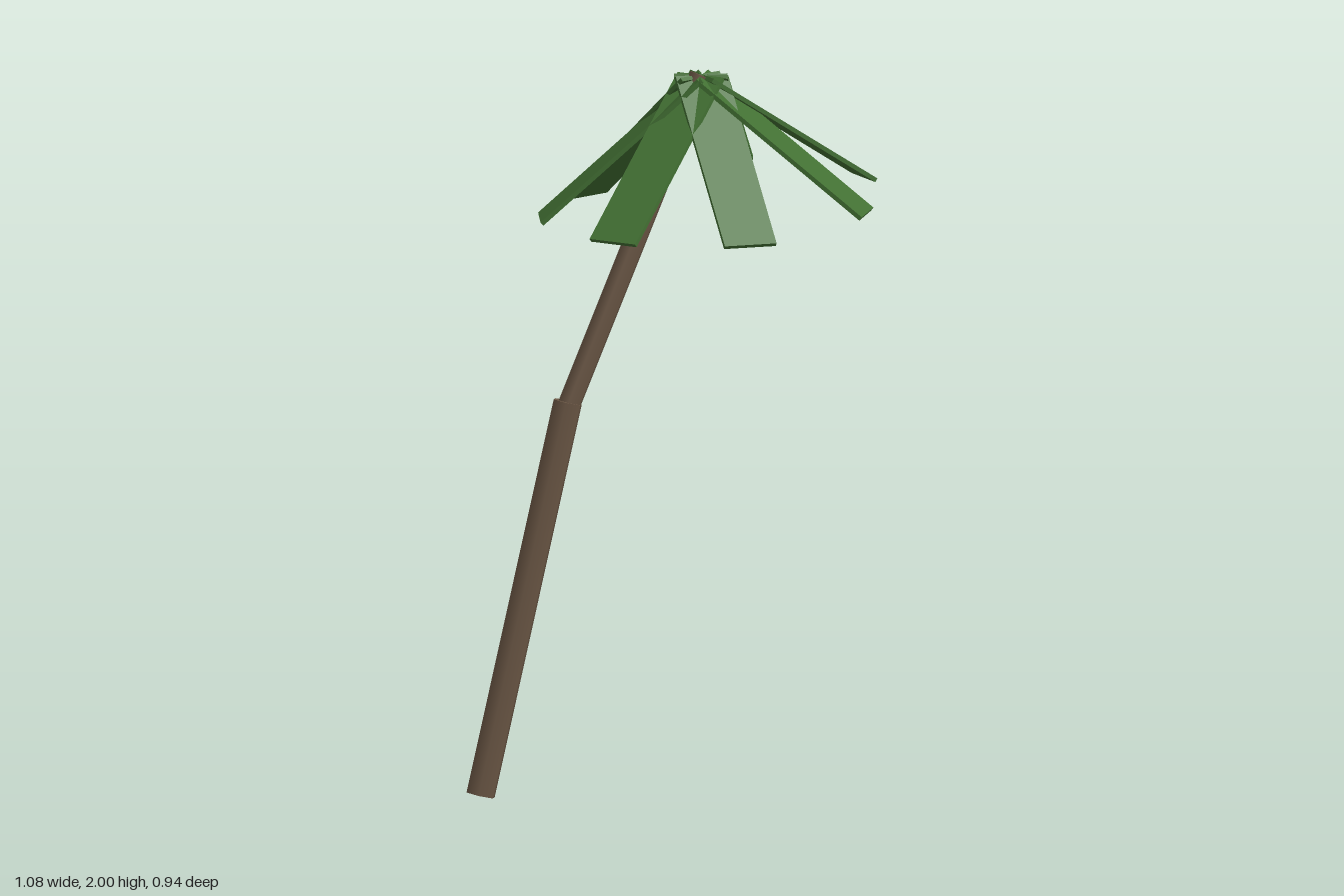
import * as THREE from 'three';

const V = (x, y, z) => new THREE.Vector3(x, y, z);

export function createModel() {
  const model = new THREE.Group();
  const bark = new THREE.MeshStandardMaterial({ name: 'bark brown', color: 0x6b5745 });
  const green = new THREE.MeshStandardMaterial({ name: 'leaf green', color: 0x427033 });

  // Six-sided trunk section between two points
  function trunk(name, a, b, radius) {
    const dir = b.clone().sub(a);
    const mesh = new THREE.Mesh(new THREE.CylinderGeometry(radius, radius, dir.length(), 6), bark);
    mesh.name = name;
    mesh.position.copy(a).add(b).multiplyScalar(0.5);
    mesh.quaternion.setFromUnitVectors(V(0, 1, 0), dir.normalize());
    model.add(mesh);
  }
  const crown = V(0.065, 1.983, 0.035);
  trunk('lowerTrunk', V(-0.503, 0.011, 0.362), V(-0.278, 1.097, 0.235), 0.043);
  trunk('upperTrunk', V(-0.278, 1.08, 0.236), V(0.065, 1.986, 0.035), 0.034);

  // Flat drooping fronds, hinged at the crown; each entry is the centre of its tip
  const tips = [
    [0.065, 1.662, -0.463], // back
    [0.482, 1.662, -0.243], // back left
    [0.530, 1.615, 0.070],  // left
    [0.257, 1.588, 0.430],  // front left
    [-0.122, 1.588, 0.430], // front right
    [-0.367, 1.588, 0.115], // right
    [-0.290, 1.592, -0.235], // back right
  ];
  const fronds = new THREE.Group();
  fronds.name = 'fronds';
  const leaf = new THREE.BoxGeometry(0.15, 0.012, 0.595).translate(0, 0, 0.2975);
  for (const tip of tips) {
    const frond = new THREE.Mesh(leaf, green);
    frond.name = 'frond';
    frond.position.copy(crown);
    frond.lookAt(V(...tip));
    fronds.add(frond);
  }
  model.add(fronds);
  return model;
}
